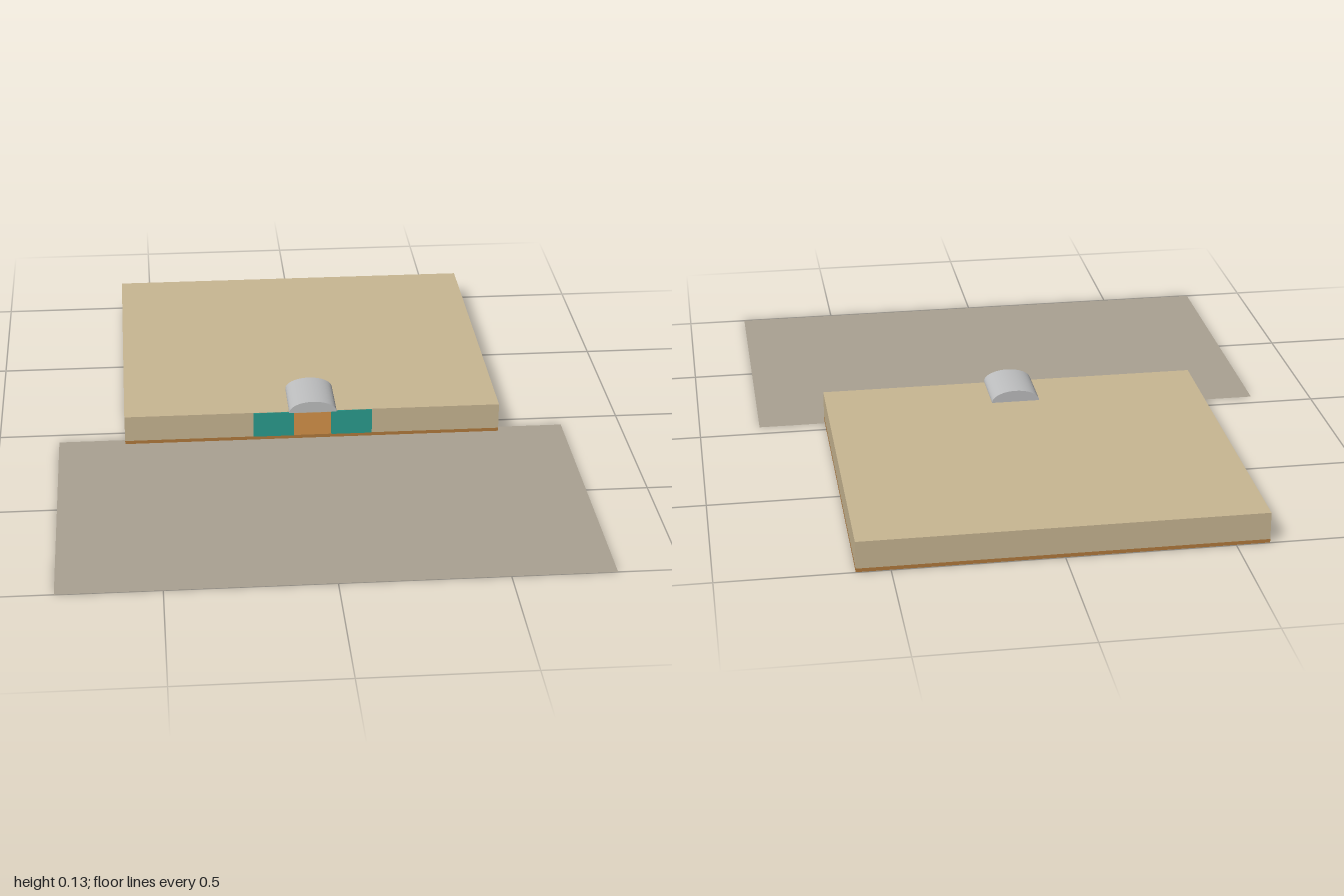
import * as THREE from 'three';

const mat = (name, color, side = THREE.FrontSide) => {
  const m = new THREE.MeshStandardMaterial({ color, side });
  m.name = name;
  return m;
};

export function createModel() {
  const beige = mat('beige plaster', 0xc9b793);
  const wood = mat('wooden floor', 0xb27a3c);
  const teal = mat('teal panel', 0x2a9d8f);
  const grey = mat('canopy grey', 0xbebfc0);
  const paving = mat('paving', 0xaaa292, THREE.DoubleSide);

  const model = new THREE.Group();
  model.name = 'pavilion';
  const add = (name, geometry, material, x = 0, y = 0, z = 0) => {
    const mesh = new THREE.Mesh(geometry, material);
    mesh.name = name;
    mesh.position.set(x, y, z);
    model.add(mesh);
    return mesh;
  };
  // Box given by its lower and upper corners
  const box = (name, material, [x0, y0, z0], [x1, y1, z1]) =>
    add(name, new THREE.BoxGeometry(x1 - x0, y1 - y0, z1 - z0), material,
      (x0 + x1) / 2, (y0 + y1) / 2, (z0 + z1) / 2);

  const W = 0.6, back = -1, front = 0.08, t = 0.008;
  const floorTop = 0.012, wallTop = 0.09, roofTop = 0.096;

  // Forecourt, tucked slightly under the building
  const court = add('forecourt', new THREE.PlaneGeometry(1.62, 0.95), paving, 0, 0, 0.525);
  court.rotation.x = -Math.PI / 2;

  // Floor slab, roof and back wall
  box('floor', wood, [-W, 0.001, back], [W, floorTop, front]);
  box('roof', beige, [-W, wallTop, back], [W, roofTop, front]);
  box('backWall', beige, [-W, floorTop, back], [W, wallTop, back + t]);

  // Side walls, front walls and the panels beside the doorway
  for (const s of [-1, 1]) {
    const span = (name, material, a, b, y1, z0, z1) =>
      box(name, material, [Math.min(s * a, s * b), floorTop, z0], [Math.max(s * a, s * b), y1, z1]);
    span('sideWall', beige, W - t, W, wallTop, back + t, front);
    span('frontWall', beige, 0.19, W - t, wallTop, front - t, front);
    span('entrancePanel', teal, 0.06, 0.19, roofTop - 0.001, front - t, front + 0.002);
  }

  // Small counter inside, facing the doorway
  box('counter', beige, [-0.035, floorTop, -0.34], [0.035, 0.03, -0.3]);

  // Arched canopy over the doorway
  const arch = new THREE.Shape();
  arch.absellipse(0, 0, 0.076, 0.037, 0, Math.PI, false);
  arch.closePath();
  const canopy = new THREE.ExtrudeGeometry(arch, { depth: 0.18, bevelEnabled: false, curveSegments: 24 });
  add('canopy', canopy, grey, 0, roofTop, -0.09);

  return model;
}
